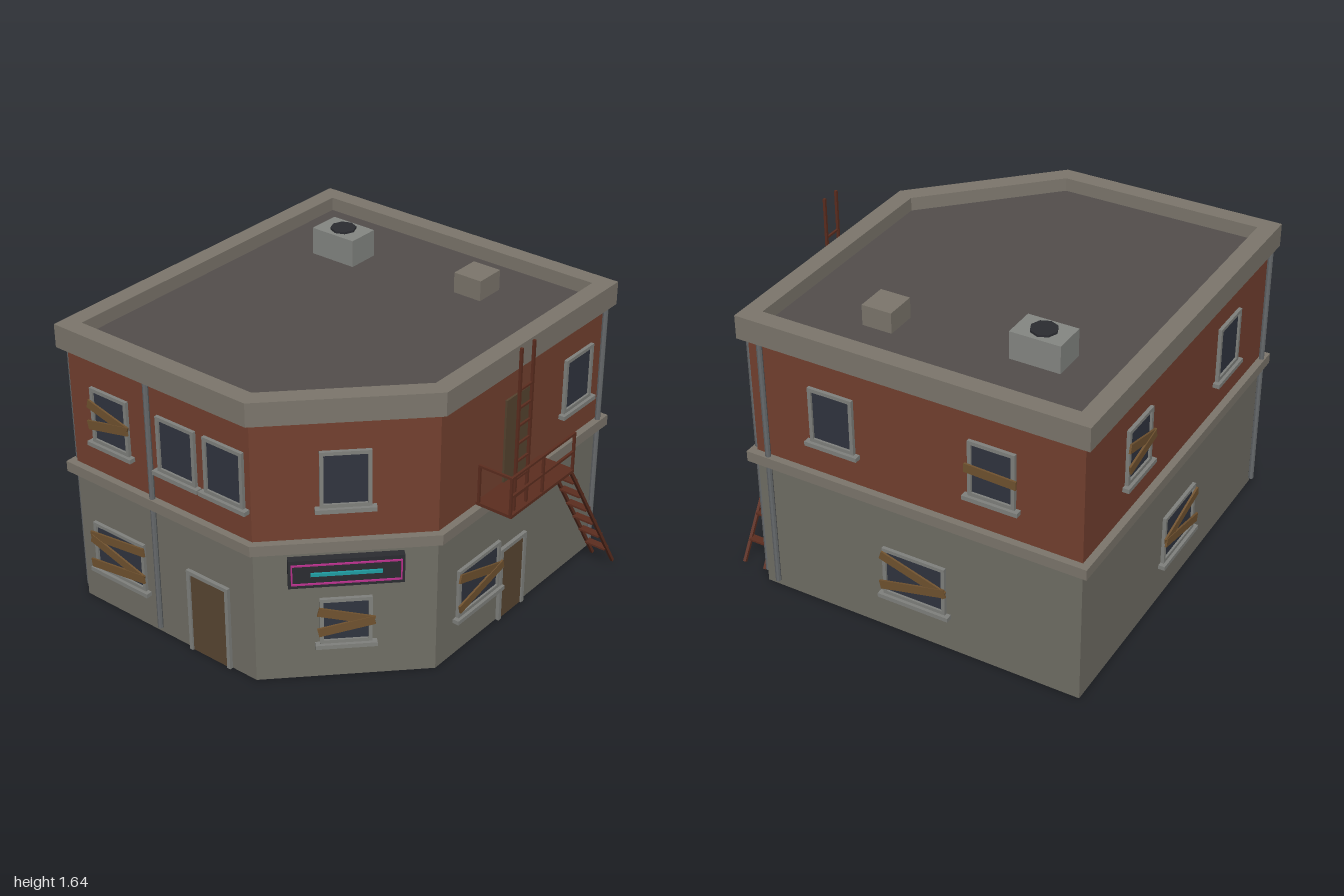
import * as THREE from 'three';

const mat = (color, side = THREE.FrontSide) => new THREE.MeshStandardMaterial({ color, side, flatShading: true });
const M = {
  brick: mat(0x73402f), plaster: mat(0x706e65), trim: mat(0x7c766c), roof: mat(0x534e4c),
  frame: mat(0x80817d), glass: mat(0x30343f), plank: mat(0x70522f), door: mat(0x594632),
  oldDoor: mat(0x55432f), pipe: mat(0x65686a), iron: mat(0x5c2d1f), vent: mat(0x858783),
  dark: mat(0x2b2c31), pink: mat(0xb5308a), cyan: mat(0x1f9ea3),
};

function add(parent, name, geometry, material, x = 0, y = 0, z = 0) {
  const mesh = new THREE.Mesh(geometry, material);
  mesh.name = name;
  mesh.position.set(x, y, z);
  parent.add(mesh);
  return mesh;
}
const box = (parent, name, material, w, h, d, x, y, z) =>
  add(parent, name, new THREE.BoxGeometry(w, h, d), material, x, y, z);

// Square bar between two points
function bar(parent, name, a, b, t, material = M.iron) {
  const p = new THREE.Vector3(...a), q = new THREE.Vector3(...b);
  const mesh = box(parent, name, material, t, t, p.distanceTo(q), 0, 0, 0);
  mesh.position.copy(p).add(q).multiplyScalar(0.5);
  mesh.lookAt(q);
  return mesh;
}

// Plan of the building with one cut corner, shrunk by an inset
function plan(inset, Type = THREE.Shape) {
  const l = -0.98 + inset, r = 0.81 - inset, f = 1 - inset, cut = 1.19 - inset * 1.42;
  return new Type([[l, f], [cut - f, f], [r, cut - r], [r, -f], [l, -f]].map(([x, z]) => new THREE.Vector2(x, -z)));
}

// Upright prism of the plan, hollow when a hole inset is given
function storey(parent, name, material, inset, y0, y1, holeInset) {
  const shape = plan(inset);
  if (holeInset !== undefined) shape.holes.push(plan(holeInset, THREE.Path));
  const geometry = new THREE.ExtrudeGeometry(shape, { depth: y1 - y0, bevelEnabled: false });
  geometry.rotateX(-Math.PI / 2);
  return add(parent, name, geometry, material, 0, y0, 0);
}

// Rectangular surround, open in the middle
function surround(parent, name, material, w, h, t, depth, x, y, z) {
  const s = new THREE.Shape([[-w, -h], [w, -h], [w, h], [-w, h]].map(([a, b]) => new THREE.Vector2(a / 2, b / 2)));
  const u = w / 2 - t, v = h / 2 - t;
  s.holes.push(new THREE.Path([[-u, -v], [-u, v], [u, v], [u, -v]].map(p => new THREE.Vector2(...p))));
  return add(parent, name, new THREE.ExtrudeGeometry(s, { depth, bevelEnabled: false }), material, x, y, z);
}

// Window on a wall; planks are [height offset, tilt in degrees]
function makeWindow(wall, x, y, w, h, planks = []) {
  const g = new THREE.Group();
  g.name = 'window';
  g.position.set(x, y, 0);
  wall.add(g);
  surround(g, 'windowFrame', M.frame, w, h, 0.018, 0.018, 0, 0, 0);
  box(g, 'windowPane', M.glass, w - 0.03, h - 0.03, 0.008, 0, 0, 0.003);
  box(g, 'windowSill', M.frame, w + 0.045, 0.022, 0.035, 0, -h / 2 - 0.011, 0.0165);
  planks.forEach(([dy, tilt], i) => {
    const p = box(g, 'plank', M.plank, w + 0.025, 0.045, 0.01, 0, dy, 0.024 + i * 0.004);
    p.rotation.z = THREE.MathUtils.degToRad(tilt);
  });
}

function makeDoor(wall, x, w, h) {
  const g = new THREE.Group();
  g.name = 'door';
  g.position.x = x;
  wall.add(g);
  box(g, 'doorLeaf', M.door, w - 0.04, h - 0.02, 0.012, 0, h / 2 - 0.01, 0.004);
  for (const s of [-1, 1]) box(g, 'doorJamb', M.frame, 0.02, h, 0.02, s * (w / 2 - 0.01), h / 2, 0.009);
  box(g, 'doorHead', M.frame, w - 0.04, 0.02, 0.02, 0, h - 0.01, 0.009);
}

function makePipe(wall, x) {
  add(wall, 'drainPipe', new THREE.CylinderGeometry(0.014, 0.014, 1.36, 8), M.pipe, x, 0.72, 0.018);
}

function makeFireEscape(root) {
  const g = new THREE.Group();
  g.name = 'fireEscape';
  root.add(g);
  const xi = 0.785, xo = 0.967, z0 = 0.08, z1 = -0.435;
  box(g, 'landing', M.iron, 0.2, 0.016, 0.525, 0.875, 0.79, -0.178);
  // Railing
  for (const z of [z0, (z0 + z1) / 2, z1]) bar(g, 'railPost', [xo, 0.79, z], [xo, 1, z], 0.012);
  for (const y of [0.895, 0.995]) bar(g, 'sideRail', [xo, y, z0], [xo, y, z1], 0.012);
  bar(g, 'endRail', [xi, 0.995, z0], [xo, 0.995, z0], 0.012);
  bar(g, 'endPost', [xi + 0.005, 0.79, z0], [xi + 0.005, 1, z0], 0.012);
  // Ladder to the roof
  for (const z of [0.033, -0.065]) bar(g, 'ladderRail', [0.953, 0.79, z], [0.953, 1.64, z], 0.013);
  for (let i = 0; i < 7; i++) {
    const y = 0.87 + i * 0.093;
    bar(g, 'ladderRung', [0.953, y, 0.033], [0.953, y, -0.065], 0.01);
  }
  // Stairs to the ground
  for (const x of [0.832, 0.953]) bar(g, 'stairStringer', [x, 0.79, -0.435], [x, 0.008, -0.915], 0.015);
  for (let i = 0; i < 6; i++) {
    const y = 0.115 + i * 0.114;
    box(g, 'stairTread', M.iron, 0.115, 0.01, 0.042, 0.8925, y, -0.92 + y * 0.614);
  }
}

export function createModel() {
  const root = new THREE.Group();
  root.name = 'cornerBuilding';

  // Shell: hollow ground floor, bands, upper floor and sunken roof
  storey(root, 'groundFloorWalls', M.plaster, 0.037, 0, 0.77, 0.045);
  storey(root, 'upperFloorWalls', M.brick, 0.037, 0.77, 1.44);
  storey(root, 'floorBand', M.trim, 0, 0.725, 0.78, 0.06);
  storey(root, 'parapet', M.trim, 0, 1.4, 1.52, 0.09);
  storey(root, 'roofDeck', M.roof, 0.06, 1.42, 1.45);

  // Wall frames: local x runs along the wall, z points outward
  const wall = (name, x, z, turn) => {
    const g = new THREE.Group();
    g.name = name;
    g.position.set(x, 0, z);
    g.rotation.y = turn;
    root.add(g);
    return g;
  };
  const front = wall('frontWallParts', 0, 0.963, 0);
  const back = wall('backWallParts', 0, -0.963, Math.PI);
  const right = wall('eastWallParts', 0.773, 0, Math.PI / 2);
  const left = wall('westWallParts', -0.943, 0, -Math.PI / 2);
  const corner = wall('cornerWallParts', 0.4735, 0.6645, Math.PI / 4);

  const cross = [[0.03, -14], [-0.025, 12]];
  const wide = [[0.045, -17], [-0.035, 13]];
  const upper = (w, x, planks) => makeWindow(w, x, 1.095, 0.235, 0.29, planks);
  const lower = (w, x, planks) => makeWindow(w, x, 0.342, 0.335, 0.265, planks);

  upper(front, -0.683, cross);
  upper(front, -0.263);
  upper(front, 0.025);
  lower(front, -0.682, [[0.078, 7], [-0.005, -16], [-0.075, 8]]);
  makeDoor(front, -0.105, 0.26, 0.46);
  makePipe(front, -0.427);

  upper(corner, 0);
  makeWindow(corner, 0, 0.325, 0.245, 0.25, cross);

  upper(right, 0.735);
  lower(right, -0.043, wide);
  makeDoor(right, 0.237, 0.215, 0.415);
  box(right, 'fireDoor', M.oldDoor, 0.215, 0.46, 0.014, 0.237, 1.01, 0.004);
  makePipe(right, 0.935);

  upper(back, -0.335);
  upper(back, 0.495, [[0, -2]]);
  lower(back, 0.08, wide);
  makePipe(back, -0.7);

  upper(left, -0.46, cross);
  upper(left, 0.5);
  lower(left, 0.03, [[0.045, 14], [-0.035, -12]]);
  makePipe(left, 0.935);

  // Glowing sign panel without lettering
  const sign = new THREE.Group();
  sign.name = 'sign';
  sign.position.y = 0.613;
  corner.add(sign);
  box(sign, 'signPanel', M.dark, 0.535, 0.15, 0.04, 0, 0, 0.02);
  surround(sign, 'signBorder', M.pink, 0.51, 0.11, 0.007, 0.008, 0, 0, 0.04);
  box(sign, 'signTube', M.cyan, 0.33, 0.016, 0.012, 0, 0, 0.045);

  // Roof equipment
  box(root, 'airUnit', M.vent, 0.255, 0.15, 0.17, -0.503, 1.515, -0.525);
  add(root, 'airUnitFan', new THREE.CylinderGeometry(0.065, 0.065, 0.014, 8), M.dark, -0.503, 1.594, -0.525);
  box(root, 'roofVent', M.trim, 0.155, 0.11, 0.16, 0.257, 1.5, -0.61);

  makeFireEscape(root);
  return root;
}
